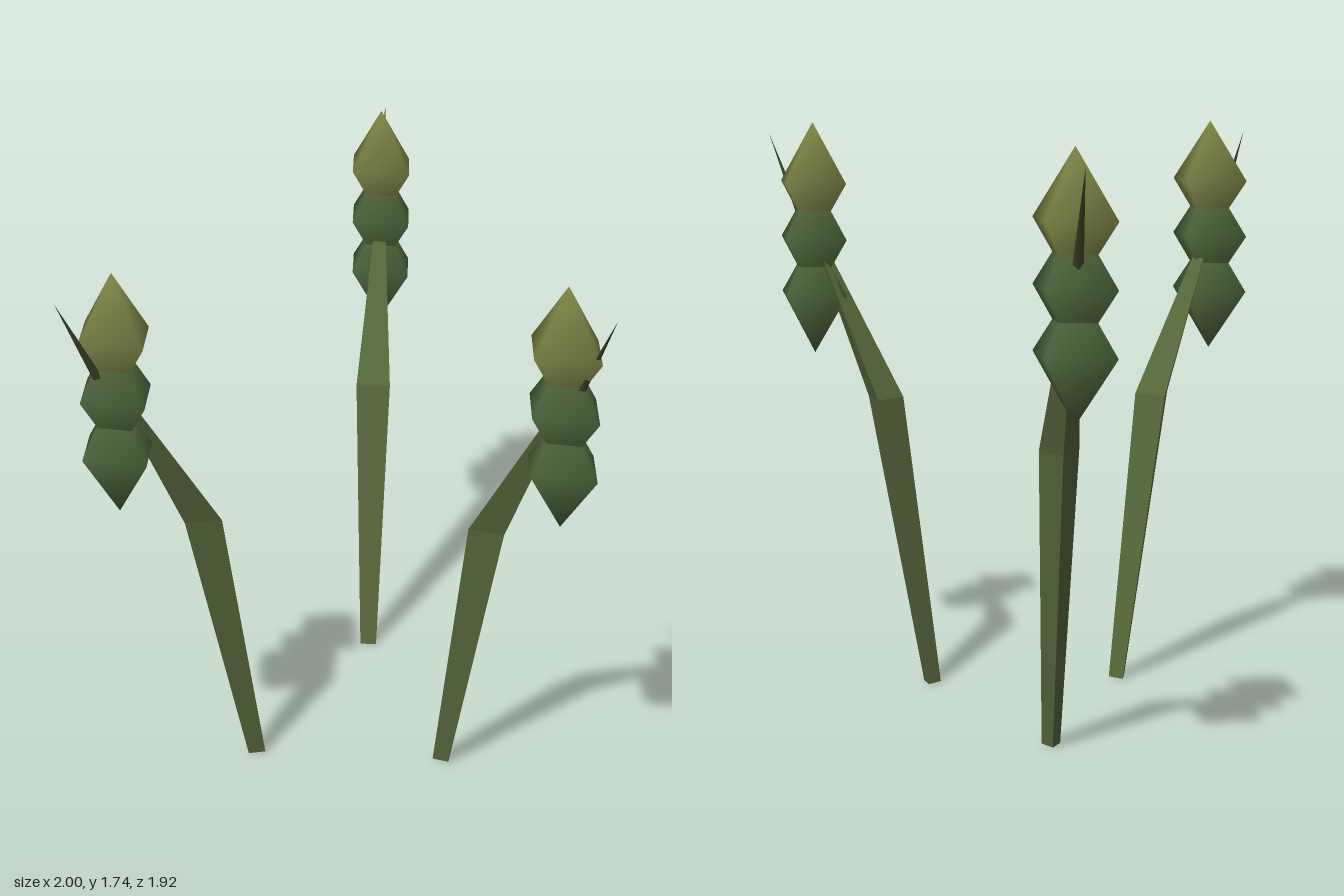
import * as THREE from 'three';

const mat = (name, color) => {
  const m = new THREE.MeshStandardMaterial({ color });
  m.name = name;
  return m;
};

// Three-sided stalk leaning along +z, with a bend at the middle ring
function stemGeometry() {
  const rings = [
    { y: 0, out: 0, r: 0.031 },
    { y: 0.885, out: 0.201, r: 0.065 },
    { y: 1.3, out: 0.452, r: 0.025 },
  ];
  const cyl = new THREE.CylinderGeometry(1, 1, 2, 3, 2);
  const p = cyl.attributes.position;
  for (let i = 0; i < p.count; i++) {
    const ring = rings[Math.round(p.getY(i)) + 1];
    p.setXYZ(i, p.getX(i) * ring.r, ring.y, p.getZ(i) * ring.r + ring.out);
  }
  const geo = cyl.toNonIndexed();
  geo.computeVertexNormals();
  return geo;
}

// Thin spike from the head outward and up
function thornGeometry() {
  const from = new THREE.Vector3(0, 1.4, 0.547);
  const to = new THREE.Vector3(0, 1.697, 0.708);
  const dir = to.clone().sub(from);
  const geo = new THREE.ConeGeometry(0.017, dir.length(), 4);
  geo.applyQuaternion(new THREE.Quaternion().setFromUnitVectors(
    new THREE.Vector3(0, 1, 0), dir.clone().normalize()));
  geo.translate(0, (from.y + to.y) / 2, (from.z + to.z) / 2);
  return geo;
}

export function createModel() {
  const stemMat = mat('stem green', 0x56673a);
  const budMat = mat('bud green', 0x526a3e);
  const tipMat = mat('olive tip', 0x7e8647);
  const thornMat = mat('dark thorn', 0x3d4426);

  const stemGeo = stemGeometry();
  const thornGeo = thornGeometry();
  // Four-cornered bud with soft shading
  const budGeo = new THREE.SphereGeometry(1, 4, 2).scale(0.149, 0.19, 0.121);

  const model = new THREE.Group();
  model.name = 'stalks';

  const add = (parent, name, geo, material) => {
    const mesh = new THREE.Mesh(geo, material);
    mesh.name = name;
    parent.add(mesh);
    return mesh;
  };

  // Foot position and lean direction of each stalk
  const plants = [
    { name: 'backRightStalk', x: -0.476, z: -0.486, dx: -0.742, dz: -0.671 },
    { name: 'leftStalk', x: 0.286, z: -0.186, dx: 1, dz: 0 },
    { name: 'frontStalk', x: -0.115, z: 0.253, dx: 0.084, dz: 0.996 },
  ];

  for (const { name, x, z, dx, dz } of plants) {
    const plant = new THREE.Group();
    plant.name = name;
    plant.position.set(x, 0, z);

    const leaning = new THREE.Group();
    leaning.name = 'leaningParts';
    leaning.rotation.y = Math.atan2(dx, dz);
    add(leaning, 'stem', stemGeo, stemMat);
    add(leaning, 'thorn', thornGeo, thornMat);
    plant.add(leaning);

    // Head of three stacked buds, the top one olive
    const head = new THREE.Group();
    head.name = 'head';
    head.position.set(dx * 0.507, 0, dz * 0.507);
    ['lowerBud', 'middleBud', 'topBud'].forEach((part, i) => {
      add(head, part, budGeo, i === 2 ? tipMat : budMat).position.y = 1.194 + i * 0.178;
    });
    plant.add(head);
    model.add(plant);
  }
  return model;
}
